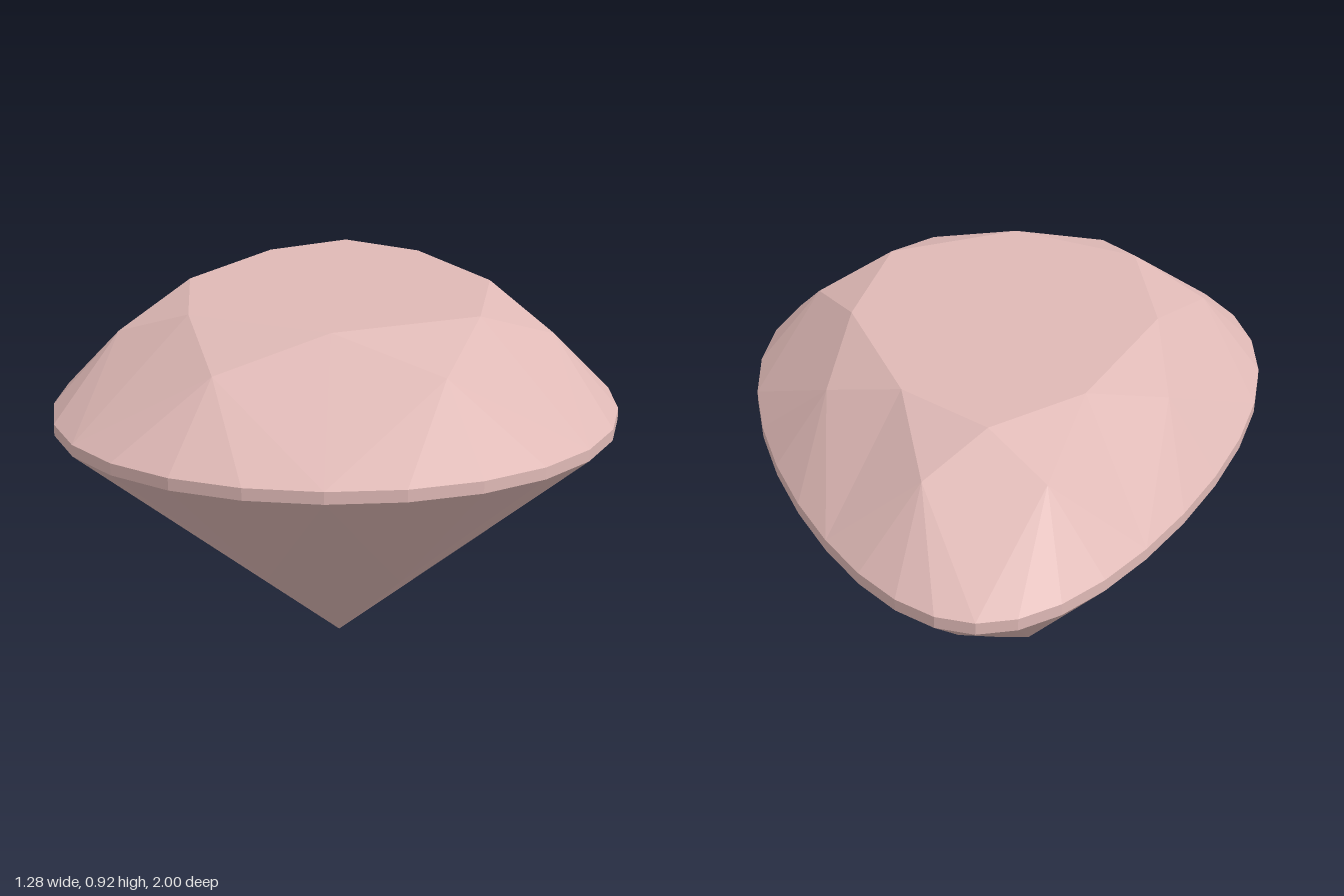
import * as THREE from 'three';

const SIDES = 32; // girdle points; the eight main facets sit on every fourth one

// Point on the pear outline (k = 0 is the narrow end), scaled about the axis at height y
function ring(k, scale, y) {
  const t = (k / SIDES) * Math.PI * 2;
  const x = Math.sin(t) * (0.608 - 0.2 * Math.cos(t));
  const z = -Math.cos(t);
  // the whole stone is turned very slightly about the vertical axis
  return [0.01 + scale * (x - 0.045 * z), y, scale * (z + 0.045 * x)];
}

const tablePoint = (k) => ring(k, 0.6, 0.92);
const crownPoint = (k) => ring(k, 0.78, 0.855);
const girdleTop = (k) => ring(k, 1, 0.705);
const girdleBottom = (k) => ring(k, 1, 0.68);
const pavilionPoint = (k) => ring(k, 0.5, 0.315);
const culet = [0.01, 0, 0];

export function createModel() {
  const gem = new THREE.MeshStandardMaterial({ color: 0xdfb9b6 });
  gem.name = 'rose gem';
  const model = new THREE.Group();
  model.name = 'pearCutGem';

  // Separate triangles keep every facet flat
  function addFacets(name, triangles) {
    const geometry = new THREE.BufferGeometry();
    geometry.setAttribute('position', new THREE.Float32BufferAttribute(triangles.flat(2), 3));
    geometry.computeVertexNormals();
    const mesh = new THREE.Mesh(geometry, gem);
    mesh.name = name;
    model.add(mesh);
  }

  const table = [], crown = [], girdle = [], pavilion = [];
  for (let k = 0; k < SIDES; k += 4) {
    const mid = k + 2;
    // flat top
    table.push([[0.01, 0.92, 0], tablePoint(k + 4), tablePoint(k)]);
    // star facet, then the two halves of the kite
    crown.push([tablePoint(k), tablePoint(k + 4), crownPoint(mid)]);
    crown.push([tablePoint(k), crownPoint(mid), girdleTop(k)]);
    crown.push([tablePoint(k), girdleTop(k), crownPoint(k - 2)]);
    // lower kite halves meeting at the point
    pavilion.push([culet, girdleBottom(k), pavilionPoint(mid)]);
    pavilion.push([culet, pavilionPoint(k - 2), girdleBottom(k)]);
    // girdle facets fan out from the middle points
    for (let i = k; i < k + 4; i++) {
      crown.push([crownPoint(mid), girdleTop(i + 1), girdleTop(i)]);
      pavilion.push([pavilionPoint(mid), girdleBottom(i), girdleBottom(i + 1)]);
      girdle.push([girdleBottom(i + 1), girdleBottom(i), girdleTop(i)]);
      girdle.push([girdleBottom(i + 1), girdleTop(i), girdleTop(i + 1)]);
    }
  }

  addFacets('table', table);
  addFacets('crown', crown);
  addFacets('girdle', girdle);
  addFacets('pavilion', pavilion);
  return model;
}
